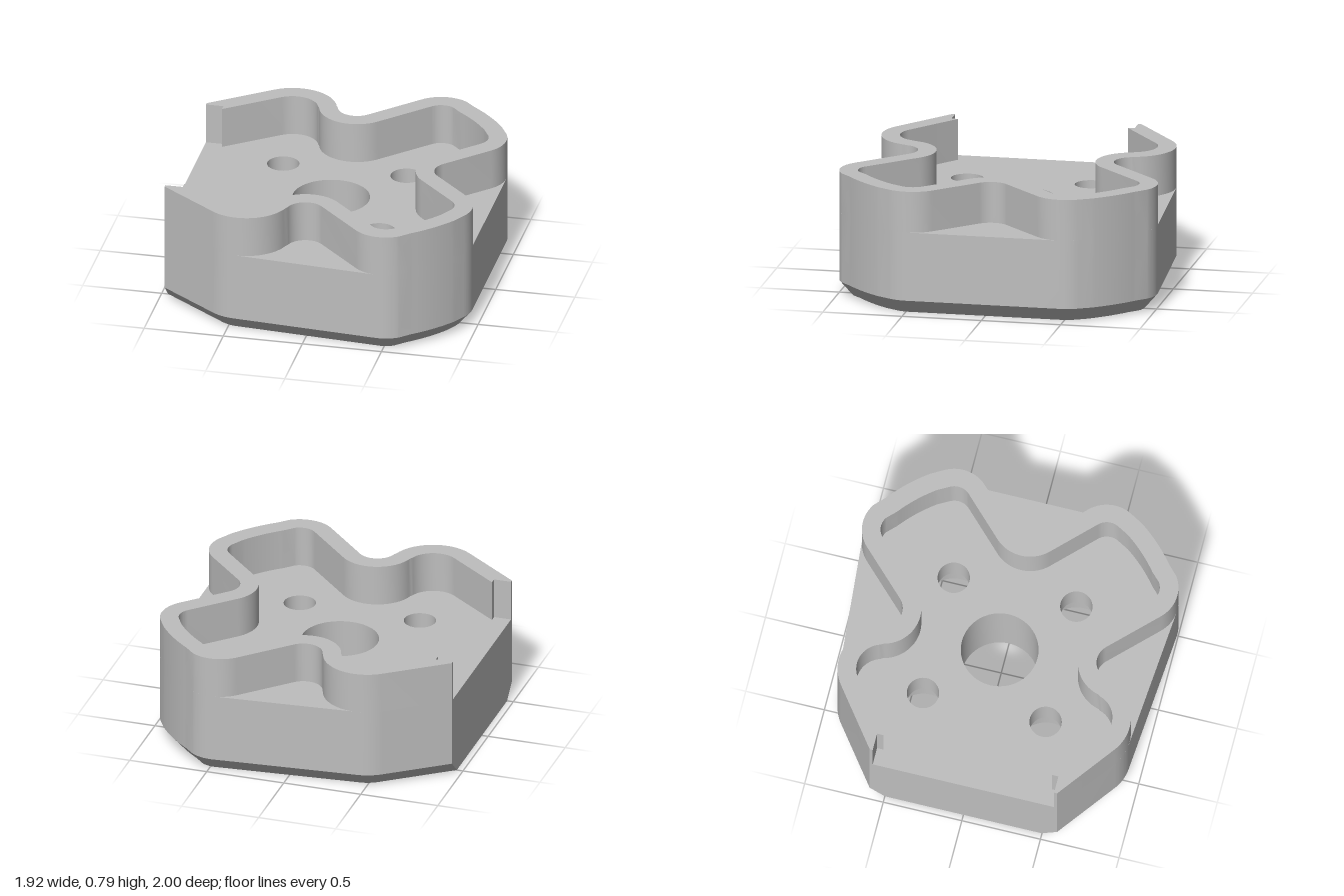
import * as THREE from 'three';
import { toCreasedNormals } from 'three/addons/utils/BufferGeometryUtils.js';

const FLOOR = 0.525, TOP = 0.785, CHAMFER = 0.09, INSET = 0.078;
const THICK = 0.115, BACK = -0.96, HUB = -0.04;
const CREASE = 0.5;

// Lobes of the plan, half of it (z > 0): centre x, centre z, inner radius
const SIDE = [0.74, 0.485, 0.105], CORNER = [0.48, 0.78, 0.105], TAIL = [-0.43, 0.65, 0.16];
const BULGE = [HUB, 0, 1.03];

// Points along an arc, angles in degrees from +x towards +z
function arc([cx, cz, r], offset, from, to, steps = 16) {
  return Array.from({ length: steps + 1 }, (_, i) => {
    const a = THREE.MathUtils.degToRad(from + (to - from) * i / steps);
    return new THREE.Vector2(cx + (r + offset) * Math.cos(a), cz + (r + offset) * Math.sin(a));
  });
}

// Point at a given x on the slanted line that leaves the tail lobe
function slant(x, offset) {
  const k = -0.6 * TAIL[0] + 0.8 * TAIL[1] + TAIL[2] + offset;
  return new THREE.Vector2(x, (k + 0.6 * x) / 0.8);
}

// Full open path from the half path
const mirror = pts => [...pts.map(p => new THREE.Vector2(p.x, -p.y)).reverse(), ...pts];

// Rounded convex outline of the base
function baseOutline(offset) {
  return mirror([
    ...arc(SIDE, offset, 0, 31.9),
    ...arc(BULGE, offset, 36, 52),
    ...arc(CORNER, offset, 56.3, 94.7),
    ...arc(TAIL, offset, 94.7, 126.87),
    slant(BACK, offset),
  ]);
}

// One face of the winding wall
function wallPath(offset) {
  return [
    ...arc([0.735, 0, 0.235], -offset, 180, 135).slice(1),
    ...arc(SIDE, offset, -45, 31.9),
    ...arc(BULGE, offset, 36, 52),
    ...arc(CORNER, offset, 56.3, 135),
    ...arc([HUB, 0.74, 0.235], -offset, -45, -167, 24),
    ...arc(TAIL, offset, 13, 126.87, 24).slice(1),
  ];
}

// Side surface through stacked closed outlines
function loft(rings) {
  const n = rings[0].pts.length, pos = [], idx = [];
  rings.forEach(({ pts, y }) => pts.forEach(p => pos.push(p.x, y, p.y)));
  for (let k = 0; k < rings.length - 1; k++) {
    for (let i = 0; i < n; i++) {
      const a = k * n + i, b = k * n + (i + 1) % n;
      idx.push(a, a + n, b, a + n, b + n, b);
    }
  }
  const g = new THREE.BufferGeometry();
  g.setAttribute('position', new THREE.Float32BufferAttribute(pos, 3));
  g.setIndex(idx);
  return toCreasedNormals(g, CREASE);
}

export function createModel() {
  const group = new THREE.Group();
  const grey = new THREE.MeshStandardMaterial({ color: 0xbebebe, side: THREE.DoubleSide });
  grey.name = 'grey';
  const add = (name, geometry) => {
    const mesh = new THREE.Mesh(geometry, grey);
    mesh.name = name;
    group.add(mesh);
    return mesh;
  };

  // Central bore and four counterbored screw holes
  const holes = [{ x: HUB, z: 0, top: 0.24, bottom: 0.24 }];
  for (const sx of [-1, 1]) for (const sz of [-1, 1]) {
    holes.push({ x: HUB + sx * 0.39, z: sz * 0.39, top: 0.1, bottom: 0.187 });
  }
  const plate = (offset, key) => {
    const shape = new THREE.Shape(baseOutline(offset));
    for (const h of holes) {
      shape.holes.push(new THREE.Path().absarc(h.x, h.z, h[key], 0, Math.PI * 2, true));
    }
    return new THREE.ShapeGeometry(shape, 24);
  };

  // Base with a chamfered lower edge
  const full = baseOutline(THICK), small = baseOutline(THICK - INSET);
  add('baseSide', loft([{ pts: small, y: 0 }, { pts: full, y: CHAMFER }, { pts: full, y: FLOOR }]));
  add('baseFloor', plate(THICK, 'top').rotateX(-Math.PI / 2).translate(0, FLOOR, 0));
  add('baseUnderside', plate(THICK - INSET, 'bottom').rotateX(Math.PI / 2));
  for (const h of holes) {
    const profile = [new THREE.Vector2(h.top, FLOOR)];
    if (h.top !== h.bottom) {
      profile.push(new THREE.Vector2(h.top, 0.33), new THREE.Vector2(h.bottom, 0.33));
    }
    profile.push(new THREE.Vector2(h.bottom, 0));
    const bore = add(h.z === 0 ? 'centreBore' : 'screwHole',
      toCreasedNormals(new THREE.LatheGeometry(profile, 48), CREASE));
    bore.position.set(h.x, 0, h.z);
  }

  // Winding wall with a stepped notch at each open end
  const notch = slant(-0.85, 0);
  const outer = mirror([
    ...wallPath(THICK), slant(BACK, THICK),
    new THREE.Vector2(BACK, 0.577), new THREE.Vector2(notch.x, 0.577),
  ]);
  const inner = mirror([...wallPath(0), notch]).reverse();
  const wall = new THREE.ExtrudeGeometry(new THREE.Shape([...outer, ...inner]),
    { depth: TOP - FLOOR, bevelEnabled: false });
  wall.rotateX(Math.PI / 2).translate(0, TOP, 0);
  add('wall', toCreasedNormals(wall, CREASE));

  return group;
}
